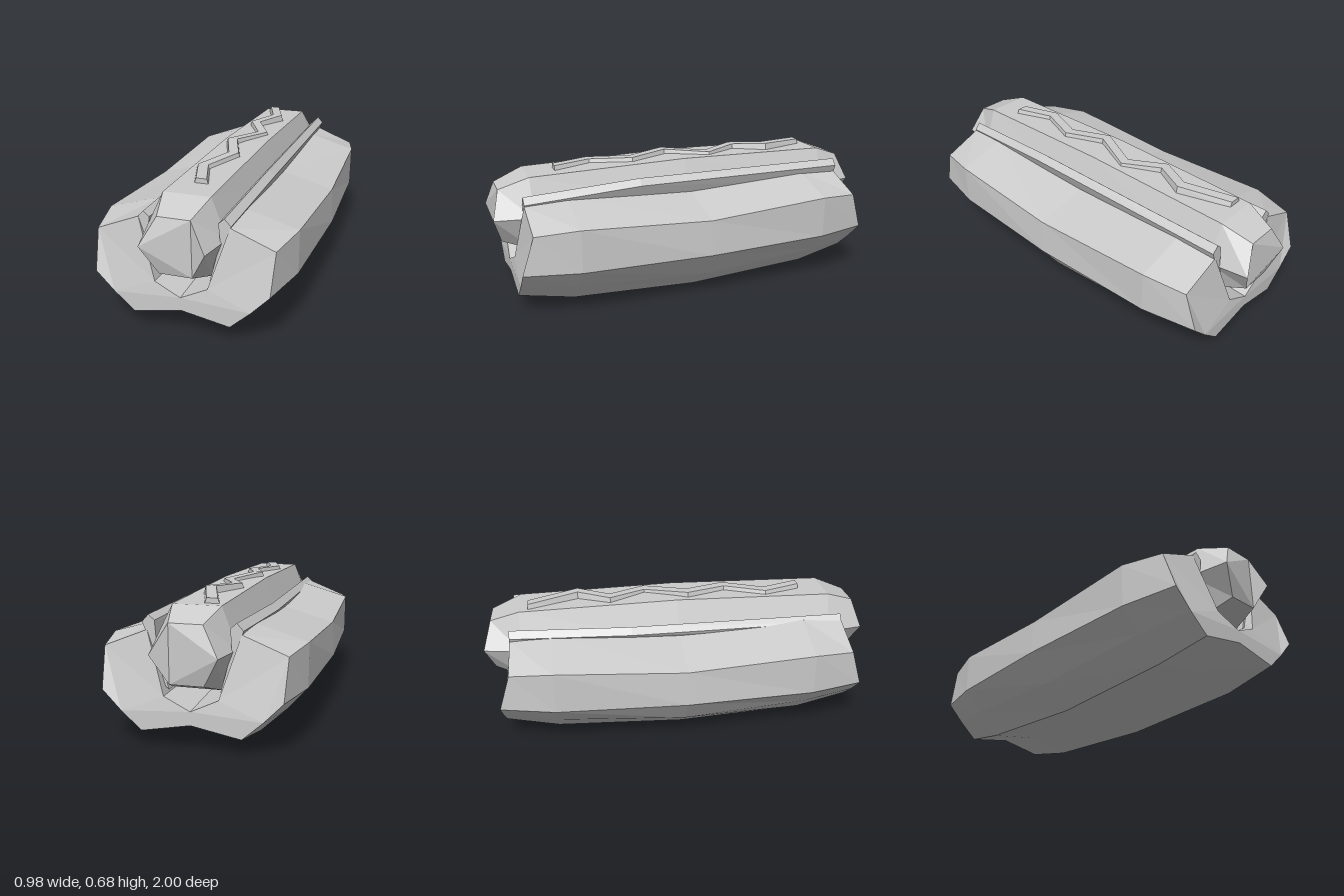
import * as THREE from 'three';

const material = new THREE.MeshStandardMaterial({ color: 0xcccccc, flatShading: true });

// Skin a list of rings (anticlockwise seen from +z, ordered from back to front) and cap both ends.
function loft(name, rings) {
  const pos = [];
  const tri = (a, b, c) => pos.push(...a, ...b, ...c);
  const n = rings[0].length;
  for (let s = 0; s < rings.length - 1; s++) {
    for (let i = 0; i < n; i++) {
      const j = (i + 1) % n;
      const a = rings[s][i], b = rings[s][j], c = rings[s + 1][j], d = rings[s + 1][i];
      tri(a, b, c);
      tri(a, c, d);
    }
  }
  const cap = (ring, flip) => {
    const outline = ring.map(([x, y]) => new THREE.Vector2(x, y));
    for (const [a, b, c] of THREE.ShapeUtils.triangulateShape(outline, [])) {
      if (flip) tri(ring[a], ring[c], ring[b]);
      else tri(ring[a], ring[b], ring[c]);
    }
  };
  cap(rings[0], true);
  cap(rings[rings.length - 1], false);
  const geometry = new THREE.BufferGeometry();
  geometry.setAttribute('position', new THREE.Float32BufferAttribute(pos, 3));
  geometry.computeVertexNormals();
  const mesh = new THREE.Mesh(geometry, material);
  mesh.name = name;
  return mesh;
}

// Complete a front half of rings (middle to front) with its mirror image behind.
const mirrorZ = (front) => [
  ...front.filter((ring) => ring[0][2] > 0).reverse().map((ring) => ring.map(([x, y, z]) => [x, y, -z])),
  ...front,
];

// Split bun: half outlines from the underside crease round to the bottom of the slot.
function createBun() {
  const halves = [
    [[0, 0.02, 0], [0.25, 0, 0], [0.39, 0.11, 0], [0.49, 0.25, 0], [0.48, 0.43, 0],
      [0.19, 0.51, 0], [0.115, 0.26, 0], [0, 0.21, 0]],
    [[0, 0.075, 0.65], [0.25, 0.033, 0.65], [0.37, 0.145, 0.65], [0.467, 0.253, 0.65], [0.468, 0.465, 0.65],
      [0.2, 0.543, 0.65], [0.12, 0.25, 0.65], [0, 0.2, 0.65]],
    [[0, 0.125, 0.92], [0.23, 0.082, 0.92], [0.325, 0.167, 0.92], [0.412, 0.257, 0.92], [0.42, 0.445, 0.86],
      [0.215, 0.527, 0.86], [0.125, 0.245, 0.91], [0, 0.188, 0.92]],
  ];
  const rings = halves.map((half) => [
    ...half,
    ...half.slice(1, -1).reverse().map(([x, y, z]) => [-x, y, z]),
  ]);
  return loft('bun', mirrorZ(rings));
}

// Hexagonal sausage with tapered ends that come to a horizontal ridge.
function createSausage() {
  const hexagon = (side, corner, top, bottom, zSide, zCorner) => [
    [corner, bottom, zCorner], [side, 0.45, zSide], [corner, top, zCorner],
    [-corner, top, zCorner], [-side, 0.45, zSide], [-corner, bottom, zCorner],
  ];
  return loft('sausage', mirrorZ([
    hexagon(0.19, 0.115, 0.655, 0.245, 0, 0),
    hexagon(0.185, 0.113, 0.638, 0.262, 0.81, 0.81),
    hexagon(0.152, 0.077, 0.583, 0.316, 1, 0.96),
  ]));
}

// Zigzag line of sauce: [x, z, top height] along its centre.
function createSauce() {
  const path = [
    [-0.055, -0.765, 0.663], [0.033, -0.51, 0.678], [-0.05, -0.345, 0.672], [0.047, -0.16, 0.666],
    [-0.053, 0.06, 0.678], [0.025, 0.265, 0.67], [-0.055, 0.475, 0.664], [0.012, 0.67, 0.664],
  ];
  return loft('sauce', path.map(([x, z, top]) => [
    [x - 0.038, 0.63, z], [x + 0.038, 0.63, z], [x + 0.026, top, z], [x - 0.026, top, z],
  ]));
}

// Thin garnish leaf standing between bun and sausage: [z, rim x, rim y] along its length.
function createLeaf(name, side, path) {
  return loft(name, path.map(([z, x, y]) => {
    const ring = [
      [0.118, 0.262, z], [0.14, 0.28, z], [0.2, 0.47, z],
      [x + 0.03, y - 0.033, z], [x, y, z], [x - 0.028, y - 0.025, z], [0.17, 0.45, z],
    ];
    return side > 0 ? ring : ring.reverse().map(([px, py, pz]) => [-px, py, pz]);
  }));
}

export function createModel() {
  const model = new THREE.Group();
  model.name = 'hotDog';
  model.add(
    createBun(),
    createSausage(),
    createSauce(),
    createLeaf('leftLeaf', 1, [[-0.86, 0.207, 0.595], [0.28, 0.215, 0.605], [0.86, 0.19, 0.566]]),
    createLeaf('rightLeaf', -1, [[-0.86, 0.193, 0.576], [-0.25, 0.208, 0.562], [0.86, 0.19, 0.555]]),
  );
  return model;
}
